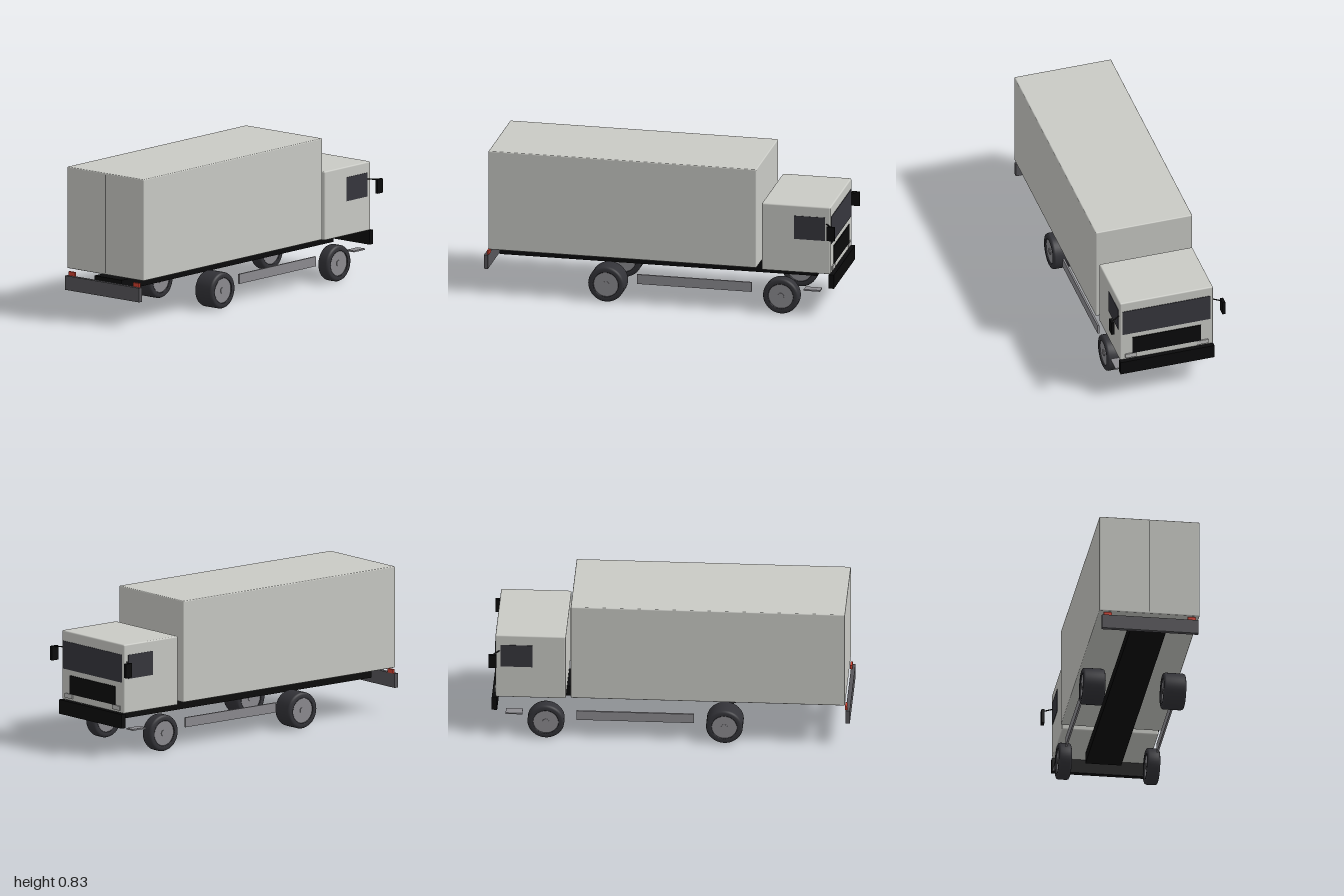
import * as THREE from 'three';
import { RoundedBoxGeometry } from 'three/addons/geometries/RoundedBoxGeometry.js';

const mat = (name, color) => Object.assign(new THREE.MeshStandardMaterial({ color }), { name });

export function createModel() {
  const truck = new THREE.Group();
  truck.name = 'boxTruck';
  const paint = mat('bodyPaint', 0xc9cac5);
  const black = mat('blackTrim', 0x0a0a0b);
  const glass = mat('darkGlass', 0x36363d);
  const rubber = mat('tyreRubber', 0x333338);
  const metal = mat('greyMetal', 0x8c8b90);
  const darkMetal = mat('darkMetal', 0x565559);
  const red = mat('tailRed', 0xd0402f);
  const lamp = mat('headlightLens', 0xbcbcba);

  // Box given by its minimum and maximum corners, optionally rounded
  function box(name, material, [x0, x1], [y0, y1], [z0, z1], radius = 0) {
    const size = [x1 - x0, y1 - y0, z1 - z0];
    const geometry = radius ? new RoundedBoxGeometry(...size, 2, radius) : new THREE.BoxGeometry(...size);
    const mesh = new THREE.Mesh(geometry, material);
    mesh.name = name;
    mesh.position.set((x0 + x1) / 2, (y0 + y1) / 2, (z0 + z1) / 2);
    truck.add(mesh);
    return mesh;
  }
  // The same box on both sides of the truck
  function pair(name, material, [x0, x1], y, z) {
    box(name + 'Left', material, [x0, x1], y, z);
    box(name + 'Right', material, [-x1, -x0], y, z);
  }

  // Cargo body with rear door seam
  box('cargoBox', paint, [-0.28, 0.28], [0.257, 0.83], [-0.547, 0.973], 0.006);
  box('rearDoorSeam', black, [-0.002, 0.002], [0.267, 0.82], [0.969, 0.975]);

  // Cab, facing -z
  box('cab', paint, [-0.27, 0.27], [0.246, 0.635], [-0.965, -0.575], 0.008);
  box('windscreen', glass, [-0.255, 0.255], [0.42, 0.577], [-0.968, -0.962]);
  box('grille', black, [-0.198, 0.198], [0.285, 0.39], [-0.97, -0.962]);
  pair('headlight', lamp, [0.175, 0.24], [0.26, 0.285], [-0.972, -0.962]);
  pair('doorWindow', glass, [0.267, 0.272], [0.44, 0.575], [-0.935, -0.76]);
  box('frontBumper', black, [-0.272, 0.272], [0.165, 0.245], [-0.985, -0.955]);
  pair('cabStep', metal, [0.225, 0.278], [0.144, 0.152], [-0.908, -0.815]);

  // Chassis, side guards and rear underrun bar
  box('chassis', black, [-0.1, 0.1], [0.175, 0.235], [-0.85, 0.95]);
  pair('sideGuard', metal, [0.25, 0.26], [0.11, 0.165], [-0.515, 0.135]);
  box('rearBumper', darkMetal, [-0.27, 0.27], [0.14, 0.22], [0.977, 1]);
  pair('tailLight', red, [0.212, 0.258], [0.22, 0.243], [0.973, 0.985]);

  // Mirrors on angled arms
  for (const s of [-1, 1]) {
    const arm = new THREE.LineCurve3(new THREE.Vector3(s * 0.262, 0.537, -0.938), new THREE.Vector3(s * 0.32, 0.537, -0.98));
    const armMesh = new THREE.Mesh(new THREE.TubeGeometry(arm, 1, 0.0035, 8), black);
    armMesh.name = 'mirrorArm';
    truck.add(armMesh);
  }
  pair('mirror', black, [0.313, 0.33], [0.46, 0.54], [-1, -0.955]);

  // Wheel: hollow tyre with rounded shoulders, recessed rim and hub cap
  function wheel(name, side, x0, x1, z) {
    const group = new THREE.Group();
    group.name = name;
    const h = (x1 - x0) / 2, r = 0.102, b = 0.013, bore = 0.07;
    const profile = [
      [bore, -h + 0.012], [bore, -h + 0.002], [bore + 0.004, -h], [r - b, -h], [r - 0.004, -h + 0.004], [r, -h + b],
      [r, h - b], [r - 0.004, h - 0.004], [r - b, h], [bore + 0.004, h], [bore, h - 0.002], [bore, h - 0.012],
    ].map(([x, y]) => new THREE.Vector2(x, y));
    const tyre = new THREE.Mesh(new THREE.LatheGeometry(profile, 40), rubber);
    tyre.name = 'tyre';
    const rim = new THREE.Mesh(new THREE.CylinderGeometry(bore, bore, 2 * h - 0.014, 40), metal);
    rim.name = 'rim';
    const cap = new THREE.Mesh(new THREE.CylinderGeometry(0.018, 0.018, 2 * h - 0.006, 20), metal);
    cap.name = 'hubCap';
    group.add(tyre, rim, cap);
    group.rotation.z = Math.PI / 2;
    group.position.set(side * (x0 + x1) / 2, r, z);
    truck.add(group);
  }
  for (const s of [-1, 1]) {
    const label = s > 0 ? 'Left' : 'Right';
    wheel('frontWheel' + label, s, 0.21, 0.283, -0.685);
    wheel('rearWheel' + label, s, 0.163, 0.288, 0.305);
  }
  return truck;
}
